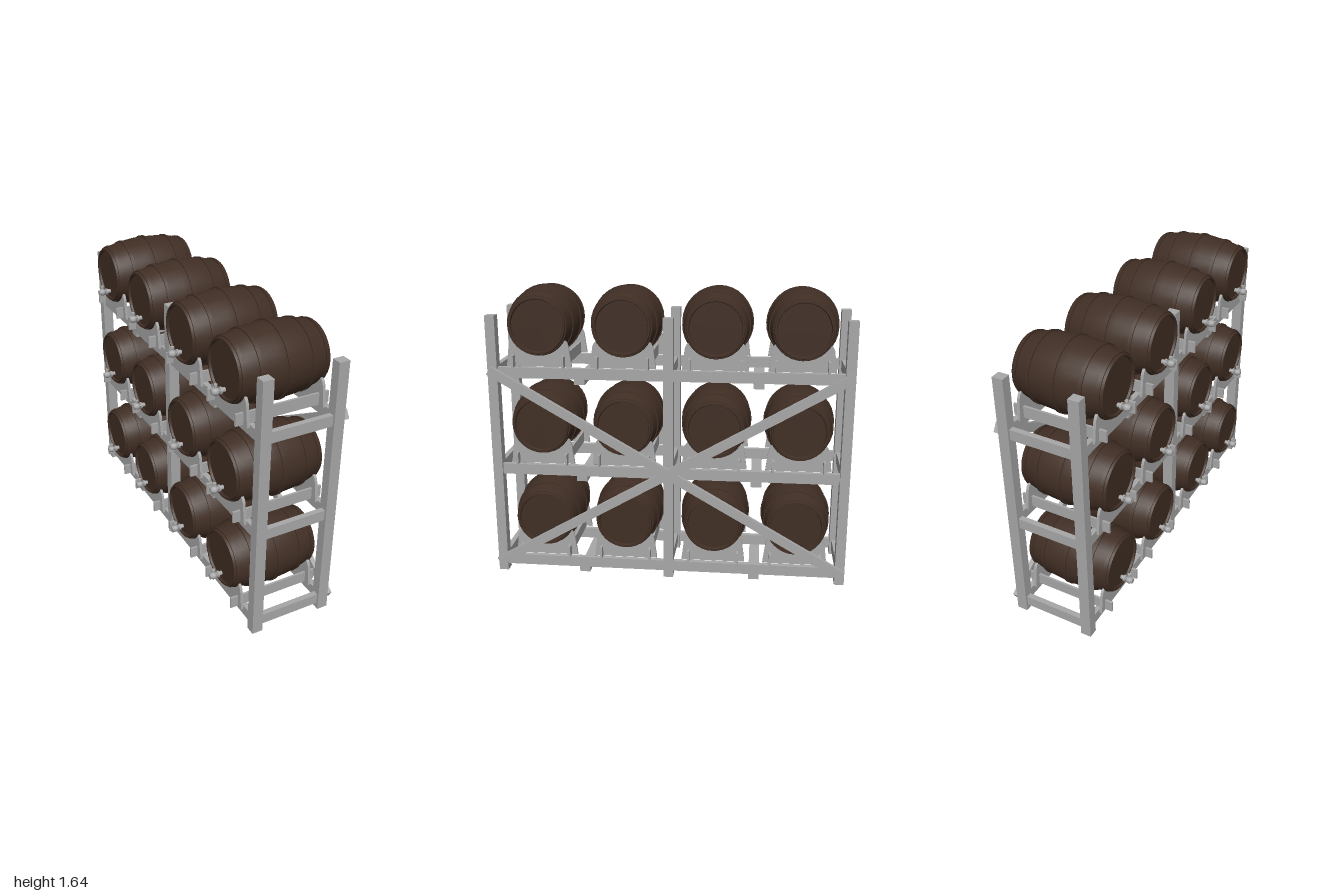
import * as THREE from 'three';
import { toCreasedNormals } from 'three/addons/utils/BufferGeometryUtils.js';

const steel = new THREE.MeshStandardMaterial({ color: 0xa8a8a8 });
steel.name = 'grey steel';
const wood = new THREE.MeshStandardMaterial({ color: 0x402e24 });
wood.name = 'dark oak';

function add(parent, name, geometry, material, x = 0, y = 0, z = 0) {
  const mesh = new THREE.Mesh(geometry, material);
  mesh.name = name;
  mesh.position.set(x, y, z);
  parent.add(mesh);
  return mesh;
}

// box given by its min and max on each axis
function bar(parent, name, [x0, x1], [y0, y1], [z0, z1]) {
  return add(parent, name, new THREE.BoxGeometry(x1 - x0, y1 - y0, z1 - z0), steel,
    (x0 + x1) / 2, (y0 + y1) / 2, (z0 + z1) / 2);
}

// bulging barrel with raised hoops and recessed heads, lying along x
function barrelGeometry() {
  const radius = (t) => 0.194 - 0.039 * (t / 0.25) ** 2;
  const pts = [[0, -0.238], [0.142, -0.238], [0.146, -0.25], [radius(0.25), -0.25]];
  for (const c of [-0.228, -0.143, 0, 0.143, 0.228]) {
    const a = c - 0.009, b = c + 0.009;
    pts.push([radius(a), a], [radius(a) + 0.006, a], [radius(b) + 0.006, b], [radius(b), b]);
    if (c < 0.2) pts.push([radius(c + 0.045), c + 0.045]);
  }
  pts.push([radius(0.25), 0.25], [0.146, 0.25], [0.142, 0.238], [0, 0.238]);
  const g = new THREE.LatheGeometry(pts.map((p) => new THREE.Vector2(...p)), 32);
  g.rotateZ(Math.PI / 2);
  return toCreasedNormals(g, 0.5);
}

// cradle plate with two rounded horns and a round seat
function saddleGeometry() {
  const s = new THREE.Shape();
  s.moveTo(-0.182, -0.23);
  s.lineTo(0.182, -0.23);
  s.lineTo(0.167, -0.115);
  s.quadraticCurveTo(0.158, -0.082, 0.142, -0.082);
  s.lineTo(0.132, -0.095);
  s.absarc(0, 0, 0.163, -0.623, -Math.PI + 0.623, true);
  s.lineTo(-0.142, -0.082);
  s.quadraticCurveTo(-0.158, -0.082, -0.167, -0.115);
  s.closePath();
  const g = new THREE.ExtrudeGeometry(s, { depth: 0.015, bevelEnabled: false, curveSegments: 12 });
  return g.rotateY(Math.PI / 2);
}

function tap() {
  const g = new THREE.Group();
  g.name = 'tap';
  const along = (name, r, x0, x1) => {
    const c = new THREE.CylinderGeometry(r, r, x1 - x0, 12).rotateZ(Math.PI / 2);
    add(g, name, c, steel, (x0 + x1) / 2);
  };
  along('tapPipe', 0.012, -0.275, -0.23);
  along('tapCollar', 0.019, -0.262, -0.252);
  add(g, 'tapBody', new THREE.SphereGeometry(0.021, 12, 8), steel, -0.283);
  along('tapNozzle', 0.015, -0.306, -0.28);
  add(g, 'tapStem', new THREE.CylinderGeometry(0.006, 0.006, 0.03, 8), steel, -0.283, 0.023);
  add(g, 'tapHandle', new THREE.CylinderGeometry(0.01, 0.01, 0.012, 10), steel, -0.283, 0.034);
  return g;
}

export function createModel() {
  const model = new THREE.Group();
  model.name = 'barrelRack';
  const barrelGeo = barrelGeometry(), saddleGeo = saddleGeometry();

  // six upright posts
  for (const z of [-0.973, 0, 0.973]) {
    for (const x of [-0.167, 0.245]) {
      bar(model, 'post', [x - 0.03, x + 0.03], [0, 1.5], [z - 0.027, z + 0.027]);
    }
  }

  for (let row = 0; row < 3; row++) {
    const level = new THREE.Group();
    level.name = 'level';
    level.position.y = row * 0.56;
    model.add(level);

    // long rails, end bars and low cross beams
    for (const x of [-0.17, 0.247]) {
      for (const s of [-1, 1]) {
        bar(level, 'rail', [x - 0.015, x + 0.015], [0.035, 0.095], s > 0 ? [0.027, 0.946] : [-0.946, -0.027]);
      }
    }
    for (const z of [-0.973, 0, 0.973]) {
      bar(level, 'tieBar', [-0.137, 0.215], [0.035, 0.095], [z - 0.015, z + 0.015]);
    }
    for (const z of [-0.49, 0.49]) {
      bar(level, 'crossBeam', [-0.18, 0.262], [0.005, 0.035], [z - 0.03, z + 0.03]);
    }

    // barrels on their cradles
    for (const z of [-0.72, -0.253, 0.253, 0.72]) {
      add(level, 'barrel', barrelGeo, wood, 0.005, 0.325, z);
      for (const x of [-0.213, 0.213]) add(level, 'saddle', saddleGeo, steel, x, 0.325, z);
      for (const s of [-0.14, 0.14]) {
        bar(level, 'saddleBar', [-0.255, 0.27], [0.095, 0.16], [z + s - 0.006, z + s + 0.006]);
      }
      const t = tap();
      t.position.set(0, 0.22, z);
      level.add(t);
    }
  }

  // crossed diagonal braces
  for (const s of [-1, 1]) {
    const brace = add(model, 'diagonalBrace', new THREE.BoxGeometry(0.028, 0.05, 2.28), steel, 0.289, 0.632, 0);
    brace.rotation.x = s * Math.PI / 6;
  }
  return model;
}
